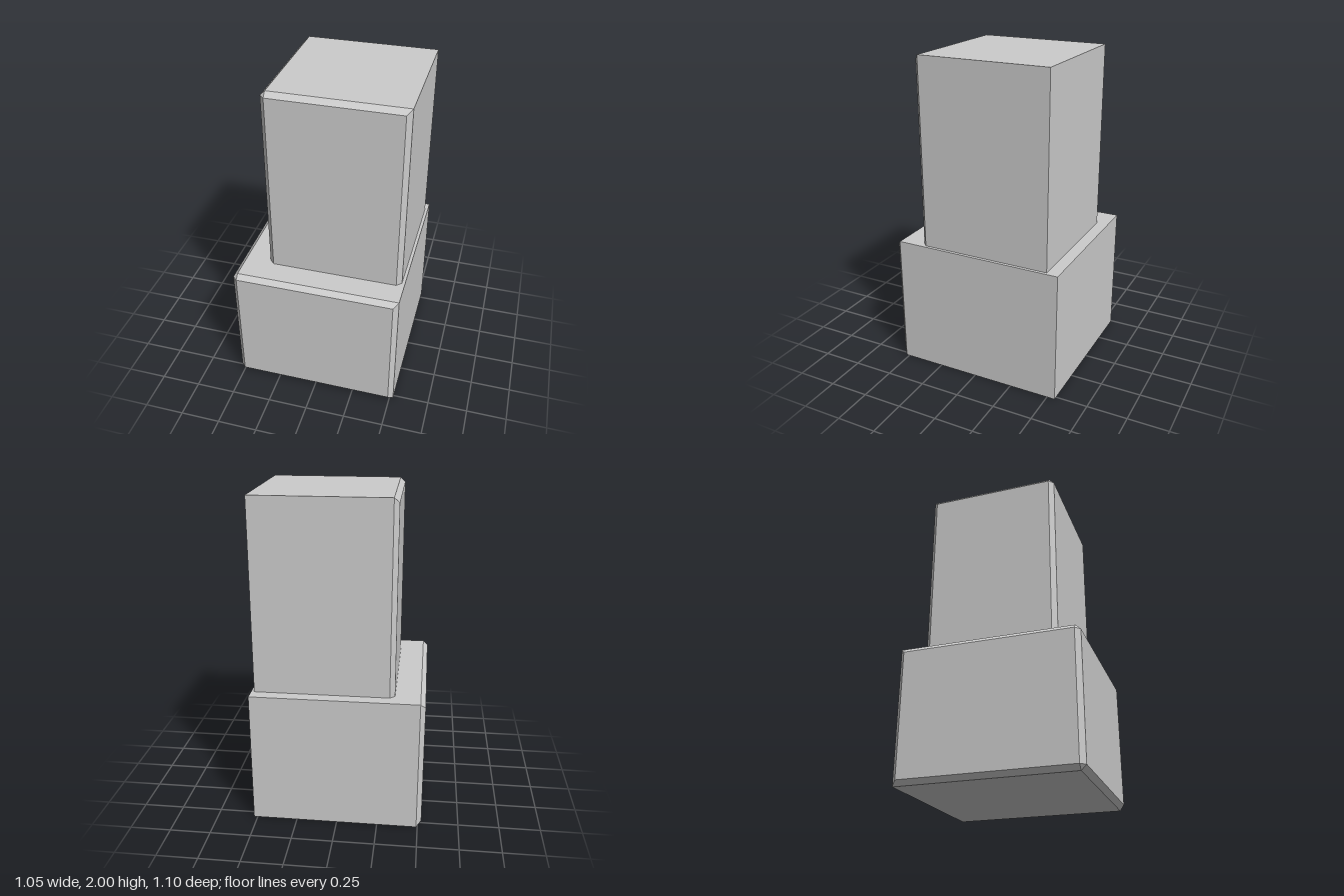
import * as THREE from 'three';
import { ConvexGeometry } from 'three/addons/geometries/ConvexGeometry.js';

const BEVEL = 0.03;

// Corner points of an axis-aligned box (or a flat plate when a range is a single value)
function corners(xs, ys, zs) {
  return xs.flatMap((x) => ys.flatMap((y) => zs.map((z) => new THREE.Vector3(x, y, z))));
}

// Block whose +z and -x faces have bevelled borders; the other edges stay sharp
function bevelledBlock(name, [x0, x1], [y0, y1], [z0, z1], material) {
  const b = BEVEL;
  const geometry = new ConvexGeometry([
    ...corners([x0 + b, x1], [y0, y1], [z0, z1 - b]), // body
    ...corners([x0 + b, x1 - b], [y0 + b, y1 - b], [z1]), // inset front face
    ...corners([x0], [y0 + b, y1 - b], [z0 + b, z1 - b]), // inset side face
  ]);
  const mesh = new THREE.Mesh(geometry, material);
  mesh.name = name;
  return mesh;
}

export function createModel() {
  const group = new THREE.Group();
  group.name = 'stackedBlocks';
  const material = new THREE.MeshStandardMaterial({ color: 0xcccccc, flatShading: true });

  // Wide lower block
  group.add(bevelledBlock('lowerBlock', [-0.523, 0.523], [0, 0.828], [-0.55, 0.55], material));

  // Tall upper block, its bottom bevel sunk into the lower block
  group.add(bevelledBlock('upperBlock', [-0.34, 0.504], [0.79, 2], [-0.474, 0.37], material));

  return group;
}
